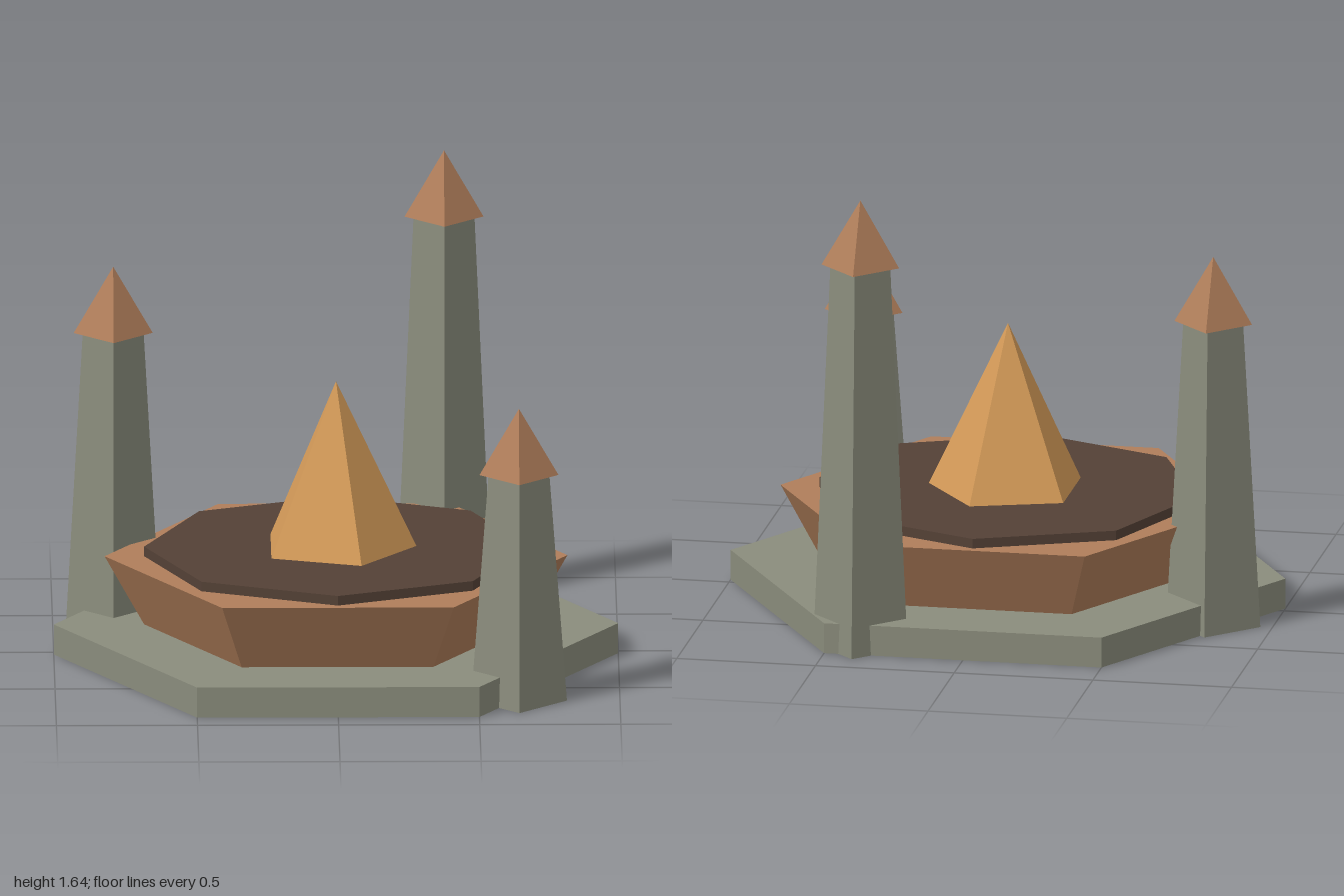
import * as THREE from 'three';

const paint = (color) => new THREE.MeshStandardMaterial({ color, flatShading: true });

export function createModel() {
  const model = new THREE.Group();
  const stone = paint(0x8a8c7c);
  const clay = paint(0xb07e5a);
  const dark = paint(0x544136);
  const gold = paint(0xd39a58);

  // Faceted prism, frustum or pyramid between two heights, one corner on +x
  function facet(name, material, sides, bottomR, topR, y0, y1, x, z) {
    const geometry = new THREE.CylinderGeometry(topR, bottomR, y1 - y0, sides, 1, false, Math.PI / 2);
    const mesh = new THREE.Mesh(geometry, material);
    mesh.name = name;
    mesh.position.set(x, (y0 + y1) / 2, z);
    return mesh;
  }

  // Stacked centre: plinth, flared bowl, lid and flame-like pyramid
  const cz = 0.03;
  model.add(
    facet('plinth', stone, 6, 1, 1, 0, 0.11, 0, cz),
    facet('bowl', clay, 6, 0.68, 0.82, 0.11, 0.36, 0, cz),
    facet('disc', dark, 8, 0.68, 0.68, 0.36, 0.395, 0, cz),
    facet('centrePyramid', gold, 5, 0.285, 0, 0.395, 1, 0, cz)
  );

  // Three tapered towers of different heights with pointed roofs
  const towers = [
    ['backTower', 0.39, -0.725, 1.4],
    ['rightTower', -0.787, -0.22, 1.112],
    ['frontTower', 0.642, 0.675, 0.828],
  ];
  for (const [name, x, z, height] of towers) {
    const tower = new THREE.Group();
    tower.name = name;
    tower.add(
      facet('shaft', stone, 4, 0.17, 0.108, 0, height, x, z),
      facet('roof', clay, 4, 0.14, 0, height, height + 0.243, x, z)
    );
    model.add(tower);
  }
  return model;
}
